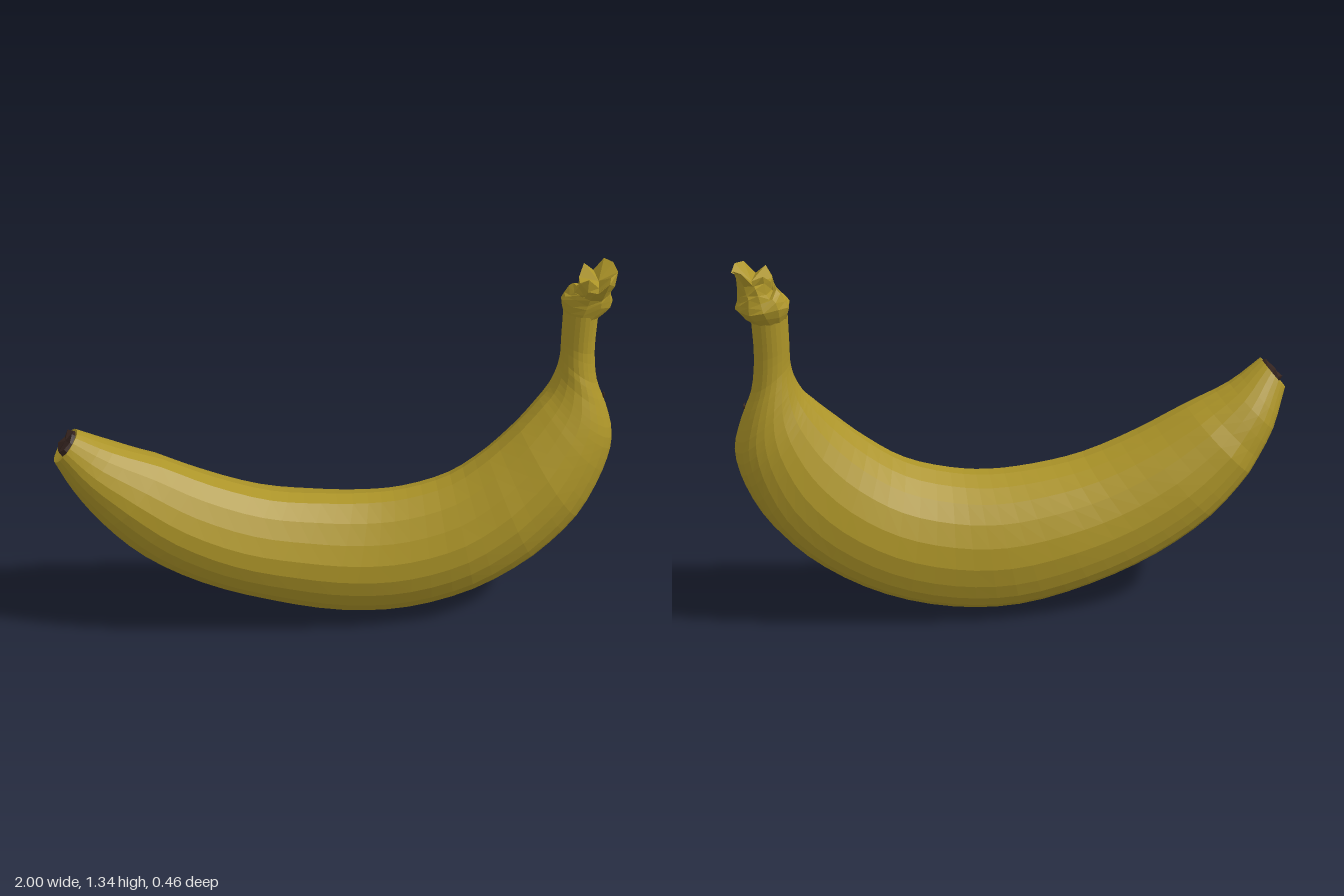
import * as THREE from 'three';

const SIDES = 22;

// Body stations: outer edge x,y, inner edge x,y, back z, front z, roundness
const BODY = [
  [-1.0, 0.755, -0.91, 0.86, 0.02, 0.17, 0.6],
  [-0.95, 0.62, -0.79, 0.78, -0.07, 0.185, 0.3],
  [-0.86, 0.47, -0.63, 0.705, -0.135, 0.21, 0],
  [-0.72, 0.315, -0.45, 0.615, -0.175, 0.225, 0],
  [-0.52, 0.18, -0.25, 0.54, -0.2, 0.222, 0],
  [-0.27, 0.075, -0.07, 0.51, -0.22, 0.21, 0],
  [0.0, 0.008, 0.1, 0.5, -0.228, 0.205, 0],
  [0.25, 0.01, 0.24, 0.515, -0.222, 0.205, 0],
  [0.5, 0.08, 0.4, 0.565, -0.222, 0.2, 0],
  [0.72, 0.21, 0.53, 0.655, -0.225, 0.18, 0],
  [0.88, 0.37, 0.64, 0.76, -0.228, 0.145, 0.1],
  [0.97, 0.55, 0.715, 0.845, -0.222, 0.095, 0.3],
  [0.995, 0.68, 0.75, 0.89, -0.205, 0.06, 0.5],
  [0.965, 0.8, 0.775, 0.945, -0.18, 0.025, 0.7],
  [0.925, 0.9, 0.785, 1.0, -0.155, 0.0, 0.8],
  [0.908, 1.02, 0.785, 1.06, -0.146, -0.018, 0.8],
  [0.91, 1.17, 0.785, 1.18, -0.146, -0.022, 0.8],
];

// Crumpled crown at the end of the stem
const CROWN = [
  [0.905, 1.15, 0.788, 1.16, -0.145, -0.025, 0.8],
  [0.96, 1.2, 0.775, 1.215, -0.175, -0.018, 0.8],
  [0.95, 1.24, 0.8, 1.25, -0.165, -0.015, 0.8],
  [0.95, 1.285, 0.825, 1.265, -0.155, 0.005, 0.8],
  [0.965, 1.34, 0.83, 1.3, -0.155, 0.005, 0.8],
];

// Ridged cross-section: x runs back to front, y runs outer to inner edge
const SECTION = new THREE.CatmullRomCurve3([
  [0.1, 0], [0.55, 0.1], [0.92, 0.32], [1, 0.55], [0.75, 0.8], [0.28, 1],
  [-0.25, 0.95], [-0.72, 0.78], [-1, 0.5], [-0.96, 0.26], [-0.8, 0.12], [-0.4, 0.05],
].map(([s, t]) => new THREE.Vector3(s, t, 0)), true);

// Sweeps the section through the stations; jitter crumples the rings
function loft(stations, steps, sides, jitter, capStart, capEnd) {
  const curve = (f) => new THREE.CatmullRomCurve3(stations.map(f));
  const outer = curve((p) => new THREE.Vector3(p[0], p[1], 0));
  const inner = curve((p) => new THREE.Vector3(p[2], p[3], 0));
  const depth = curve((p) => new THREE.Vector3(p[4], p[5], p[6]));
  const pos = [], index = [];
  for (let i = 0; i <= steps; i++) {
    const u = i / steps, o = outer.getPoint(u), n = inner.getPoint(u), d = depth.getPoint(u);
    for (let j = 0; j < sides; j++) {
      const q = SECTION.getPoint(j / sides), a = (j / sides) * Math.PI * 2;
      const wob = jitter * u * Math.sin(j * 2.4 + i * 1.3);
      const s = THREE.MathUtils.lerp(q.x, Math.sin(a), d.z) * (1 + wob * 3);
      const t = THREE.MathUtils.lerp(q.y, 0.5 - 0.5 * Math.cos(a), d.z);
      const p = o.clone().lerp(n, t);
      pos.push(p.x, p.y + wob * 0.6, (d.x + d.y) / 2 + s * (d.y - d.x) / 2);
    }
  }
  for (let i = 0; i < steps; i++) {
    for (let j = 0; j < sides; j++) {
      const k = (j + 1) % sides, a = i * sides + j, b = i * sides + k;
      index.push(a, a + sides, b, b, a + sides, b + sides);
    }
  }
  const cap = (row, center, flip) => {
    const c = pos.length / 3, r = row * sides;
    pos.push(...center);
    for (let j = 0; j < sides; j++) {
      const k = (j + 1) % sides;
      index.push(c, r + (flip ? k : j), r + (flip ? j : k));
    }
  };
  if (capStart) cap(0, capStart, false);
  if (capEnd) cap(steps, capEnd, true);
  const g = new THREE.BufferGeometry();
  g.setAttribute('position', new THREE.Float32BufferAttribute(pos, 3));
  g.setIndex(index);
  const flat = g.toNonIndexed();
  flat.computeVertexNormals();
  return flat;
}

export function createModel() {
  const group = new THREE.Group();
  const peel = new THREE.MeshStandardMaterial({ color: 0xac9428 });
  const brown = new THREE.MeshStandardMaterial({ color: 0x35241f });
  peel.name = 'yellowPeel';
  brown.name = 'darkBrown';
  peel.flatShading = brown.flatShading = true;

  const add = (name, geometry, material) => {
    const mesh = new THREE.Mesh(geometry, material);
    mesh.name = name;
    group.add(mesh);
    return mesh;
  };

  add('fruitBody', loft(BODY, 48, SIDES, 0, [-0.945, 0.8, 0.095], null), peel);
  add('stemCrown', loft(CROWN, 8, 11, 0.035, null, [0.9, 1.29, -0.075]), peel);

  // Dried blossom end, a shallow ragged plug
  const tip = add('blossomTip', new THREE.CylinderGeometry(0.042, 0.05, 0.035, 9, 1), brown);
  const p = tip.geometry.attributes.position;
  for (let i = 0; i < p.count; i++) {
    const a = Math.atan2(p.getZ(i), p.getX(i));
    if (p.getY(i) > 0) p.setY(i, 0.014 + 0.006 * Math.sin(a * 4));
  }
  tip.geometry.computeVertexNormals();
  tip.scale.z = 1.35;
  tip.position.set(-0.945, 0.815, 0.095);
  tip.rotation.z = 0.8;

  // Small dark blemishes on the stem and shoulder
  const spot = (name, x, y, z, r, ry) => {
    const m = add(name, new THREE.SphereGeometry(r, 7, 5), brown);
    m.position.set(x, y, z);
    m.rotation.y = ry;
    m.scale.z = 0.35;
  };
  spot('stemBlemish', 0.918, 1.212, -0.148, 0.022, 2.4);
  spot('shoulderBlemish', 0.952, 0.84, -0.068, 0.012, Math.PI / 2);

  return group;
}
